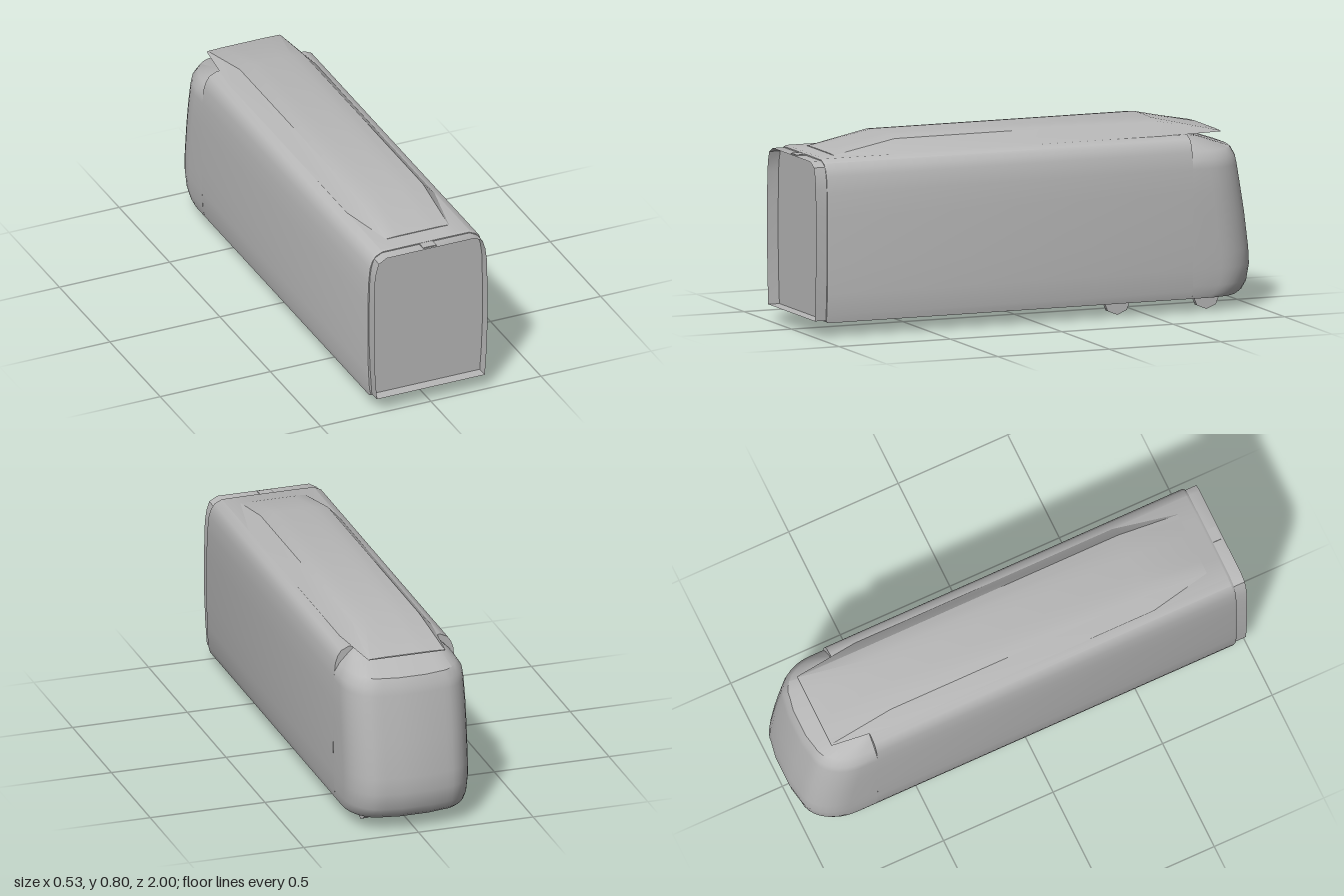
import * as THREE from 'three';
import { toCreasedNormals } from 'three/addons/utils/BufferGeometryUtils.js';

const grey = new THREE.MeshStandardMaterial({ color: 0xb8b8b8 });
grey.name = 'grey shell';
const greyOpen = new THREE.MeshStandardMaterial({ color: 0xb8b8b8, side: THREE.DoubleSide });
greyOpen.name = 'grey shell, two sided';

// Skin closed loops, counter-clockwise as seen from the end they advance to.
function loft(loops, capped = true, crease = 0.6) {
  const pos = [];
  const tri = (a, b, c) => pos.push(...a, ...b, ...c);
  const n = loops[0].length;
  for (let i = 0; i < loops.length - 1; i++) {
    for (let j = 0; j < n; j++) {
      const k = (j + 1) % n;
      const a = loops[i][j], b = loops[i][k], c = loops[i + 1][k], d = loops[i + 1][j];
      tri(a, b, c);
      tri(a, c, d);
    }
  }
  if (capped) {
    for (const [loop, flip] of [[loops[0], true], [loops[loops.length - 1], false]]) {
      const mid = [0, 1, 2].map(t => loop.reduce((s, p) => s + p[t], 0) / n);
      for (let j = 0; j < n; j++) {
        const a = loop[j], b = loop[(j + 1) % n];
        flip ? tri(mid, b, a) : tri(mid, a, b);
      }
    }
  }
  const geo = new THREE.BufferGeometry();
  geo.setAttribute('position', new THREE.Float32BufferAttribute(pos, 3));
  return toCreasedNormals(geo, crease);
}

// Mirror a right-hand profile (bottom to top) into a closed loop at z.
const section = (half, z) => [
  ...half.map(([x, y]) => [x, y, z]),
  ...half.slice().reverse().map(([x, y]) => [-x, y, z]),
];

function add(group, name, geo, mat = grey) {
  const mesh = new THREE.Mesh(geo, mat);
  mesh.name = name;
  group.add(mesh);
  return mesh;
}

export function createModel() {
  const model = new THREE.Group();
  model.name = 'railCar';

  // Main body with softly bulged sides and rounded shoulders
  const profile = [
    [0.252, 0.058], [0.26, 0.09], [0.265, 0.18], [0.267, 0.3], [0.267, 0.5], [0.264, 0.6],
    [0.257, 0.67], [0.247, 0.7], [0.232, 0.722], [0.2, 0.737], [0.1, 0.738],
  ];
  const inset = (s) => profile.map(([x, y]) => [x * s, 0.4 + (y - 0.4) * s]);
  add(model, 'body', loft([
    section(profile, -0.69), section(profile, 0.94), section(inset(0.985), 0.95),
  ]));

  // Open connecting collar at the front
  const collar = [
    [0.245, 0.068], [0.252, 0.17], [0.257, 0.3], [0.257, 0.5], [0.254, 0.62],
    [0.247, 0.67], [0.235, 0.708], [0.2, 0.728],
  ];
  add(model, 'collar', loft([section(collar, 0.945), section(collar, 1)], false), greyOpen);
  const latch = add(model, 'collarLatch', new THREE.BoxGeometry(0.06, 0.004, 0.04));
  latch.position.set(0, 0.73, 0.97);

  // Rounded nose at the back: horizontal layers of [y, half width, rear z]
  const layers = [
    [0.058, 0.252, -0.945], [0.075, 0.257, -0.968], [0.11, 0.262, -0.988], [0.18, 0.265, -1],
    [0.25, 0.266, -0.996], [0.4, 0.267, -0.977], [0.5, 0.267, -0.961], [0.6, 0.264, -0.945],
    [0.635, 0.26, -0.938], [0.67, 0.238, -0.922], [0.71, 0.2, -0.805], [0.736, 0.17, -0.72],
  ];
  const startZ = -0.69;
  const steps = 8;
  add(model, 'nose', loft(layers.map(([y, w, rear]) => {
    const rx = w * 0.5;
    const bow = Math.min(0.012, (startZ - rear) * 0.1);
    const rz = Math.min(0.17, (startZ - rear - bow) * 0.95);
    const half = [[w, startZ]];
    for (let i = 0; i <= steps; i++) {
      const a = (i / steps) * Math.PI / 2;
      half.push([w - rx + rx * Math.cos(a), rear + bow + rz * (1 - Math.sin(a))]);
    }
    half.push([w * 0.25, rear]);
    return [
      ...half.map(([x, z]) => [x, y, z]),
      ...half.slice().reverse().map(([x, z]) => [-x, y, z]),
    ];
  })));

  // Raised roof fairing, tapering to a thin lip at both ends
  const lip = (w) => [[w, 0.736], [w - 0.005, 0.739], [w * 0.6, 0.741], [w * 0.3, 0.741]];
  const crown = [[0.2, 0.736], [0.146, 0.793], [0.09, 0.801], [0.04, 0.802]];
  add(model, 'roofFairing', loft([
    section(lip(0.168), -0.855), section(crown, -0.575),
    section(crown, 0.6), section(lip(0.145), 0.87),
  ], true, 0.5));

  // Small wheels half sunk into the floor
  const wheelGeo = new THREE.CylinderGeometry(0.06, 0.06, 0.022, 8).rotateZ(Math.PI / 2);
  for (const z of [-0.385, -0.785]) {
    for (const x of [-0.17, 0.17]) {
      add(model, 'wheel', wheelGeo).position.set(x, 0.06, z);
    }
  }
  return model;
}
